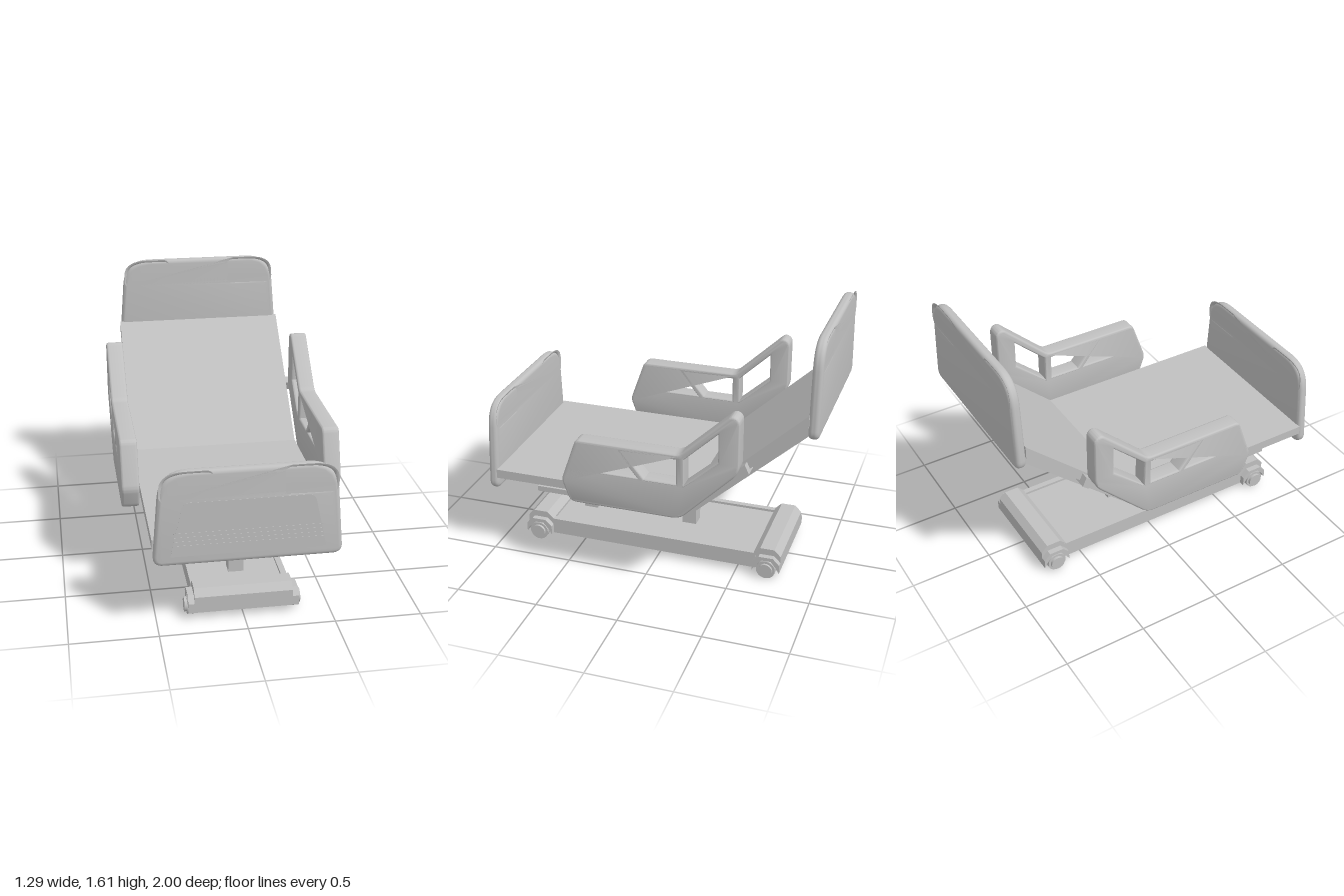
import * as THREE from 'three';
import { toCreasedNormals } from 'three/addons/utils/BufferGeometryUtils.js';

const grey = new THREE.MeshStandardMaterial({ color: 0xc0c0c0 });
grey.name = 'plain grey';

// Closed outline from [u, v, cornerRadius] points
function outline(pts, Kind = THREE.Shape) {
  const s = new Kind();
  pts.forEach(([u, v, r = 0], i) => {
    const p = new THREE.Vector2(u, v);
    const toward = (q) => {
      const d = new THREE.Vector2(q[0], q[1]).sub(p);
      return d.setLength(Math.min(r, d.length() * 0.49)).add(p);
    };
    const a = toward(pts[(i + pts.length - 1) % pts.length]);
    const b = toward(pts[(i + 1) % pts.length]);
    if (i === 0) s.moveTo(a.x, a.y); else s.lineTo(a.x, a.y);
    if (r > 0) s.quadraticCurveTo(u, v, b.x, b.y);
  });
  s.closePath();
  return s;
}

// Slab centred on its thickness, with optional rounded edges
function slab(pts, holes, thick, bevel = 0) {
  const shape = outline(pts);
  shape.holes = holes.map((h) => outline(h, THREE.Path));
  const g = new THREE.ExtrudeGeometry(shape, {
    depth: thick - 2 * bevel, curveSegments: 8, bevelEnabled: bevel > 0,
    bevelThickness: bevel, bevelSize: bevel, bevelOffset: -bevel, bevelSegments: 4,
  });
  g.translate(0, 0, -(thick - 2 * bevel) / 2);
  return toCreasedNormals(g, 0.6);
}

// Slab drawn in (z, y) and spanning x0..x1
const sideSlab = (pts, holes, x0, x1, bevel = 0) =>
  slab(pts, holes, Math.abs(x1 - x0), bevel).rotateY(-Math.PI / 2).translate((x0 + x1) / 2, 0, 0);

// Pleated skin: zigzag from low to high edge, lofted through the stations
function pleats(stations, side, count) {
  const pos = [];
  const idx = [];
  const n = count * 2;
  stations.forEach(([z0, y0, z1, y1]) => {
    for (let i = 0; i <= n; i++) {
      const t = i / n;
      pos.push(side * (i % 2 ? 0.639 : 0.618), y0 + (y1 - y0) * t, z0 + (z1 - z0) * t);
    }
  });
  for (let s = 0; s < stations.length - 1; s++) {
    for (let i = 0; i < n; i++) {
      const a = s * (n + 1) + i, b = a + 1, c = a + n + 1, d = c + 1;
      idx.push(...(side > 0 ? [a, c, b, b, c, d] : [a, b, c, b, d, c]));
    }
  }
  const g = new THREE.BufferGeometry();
  g.setAttribute('position', new THREE.Float32BufferAttribute(pos, 3));
  g.setIndex(idx);
  const flat = g.toNonIndexed();
  flat.computeVertexNormals();
  return flat;
}

export function createModel() {
  const model = new THREE.Group();
  model.name = 'adjustableBed';
  const add = (name, geo, parent = model) => {
    const m = new THREE.Mesh(geo, grey);
    m.name = name;
    parent.add(m);
    return m;
  };
  const box = (name, x0, x1, y0, y1, z0, z1, parent) =>
    add(name, new THREE.BoxGeometry(Math.abs(x1 - x0), y1 - y0, Math.abs(z1 - z0))
      .translate((x0 + x1) / 2, (y0 + y1) / 2, (z0 + z1) / 2), parent);

  // Mattress deck with raised backrest
  add('deck', sideSlab([[0.94, 0.515], [0.94, 0.57], [-0.265, 0.57], [-0.945, 1.205],
    [-0.945, 1.13], [-0.285, 0.515]], [], -0.525, 0.525));

  // Head and foot boards with two hand holes
  const board = [[-0.528, 0.432, 0.06], [0.528, 0.432, 0.06], [0.482, 0.99, 0.16], [-0.482, 0.99, 0.16]];
  const hole = [[0.218, 0.835, 0.015], [0.468, 0.835, 0.03], [0.46, 0.968, 0.13], [0.218, 0.968, 0.015]];
  const holes = [hole, hole.map(([x, y, r]) => [-x, y, r])];
  add('footBoard', slab(board, holes, 0.06, 0.024)).position.z = 0.966;
  add('headBoard', slab(board, holes, 0.06, 0.024)).position.set(0, 0.62, -0.97);

  // Decorative trapezoid and grooves on the foot board
  add('footPanel', slab([[-0.43, 0.49], [0.43, 0.49], [0.36, 0.81, 0.04], [-0.36, 0.81, 0.04]], [], 0.003))
    .position.z = 0.996;
  for (let i = 0; i < 4; i++) {
    const y = 0.553 + i * 0.025;
    box('footPanelRib', -0.41, 0.41, y - 0.003, y + 0.003, 0.995, 0.999);
  }

  // Frame under the deck
  box('frameCrossBar', -0.47, 0.47, 0.442, 0.475, 0.66, 0.695);
  for (const side of [-1, 1]) {
    add('frameRail', sideSlab([[0.695, 0.442], [0.695, 0.475], [-0.245, 0.475], [-0.945, 1.115],
      [-0.945, 1.065], [-0.26, 0.442]], [], side * 0.44, side * 0.475));
    for (const z of [0.2, -0.02]) box('railBracket', side * 0.44, side * 0.57, 0.47, 0.52, z - 0.02, z + 0.02);
    for (const z of [-0.4, -0.6, -0.8]) {
      const y = 0.475 + (-0.245 - z) * 0.92;
      add('backrestBracket', sideSlab([[z, y - 0.01], [z - 0.035, y + 0.02], [z - 0.01, y + 0.075],
        [z + 0.025, y + 0.045]], [], side * 0.44, side * (z === -0.6 ? 0.57 : 0.475)));
    }
  }

  // Side rails: rounded frame, windows and pleated lower panel
  const railOutline = [[0.465, 0.645, 0.03], [0.37, 0.915, 0.03], [-0.25, 0.915, 0.03], [-0.55, 1.2, 0.03],
    [-0.595, 1.175, 0.03], [-0.595, 0.85, 0.05], [-0.255, 0.507, 0.05], [0.415, 0.507, 0.04]];
  const windows = [
    [[0.355, 0.882], [0.125, 0.882], [0, 0.732], [0.402, 0.732]],
    [[0.08, 0.882], [-0.232, 0.882], [-0.232, 0.732], [-0.045, 0.732]],
    [[-0.28, 0.89], [-0.475, 1.075], [-0.475, 0.905], [-0.28, 0.73]],
  ];
  const panel = [[0.43, 0.645], [0.415, 0.71], [-0.285, 0.71], [-0.545, 0.92], [-0.565, 0.86],
    [-0.25, 0.545], [0.395, 0.545]];
  for (const side of [-1, 1]) {
    const rail = new THREE.Group();
    rail.name = side > 0 ? 'leftSideRail' : 'rightSideRail';
    model.add(rail);
    add('railFrame', sideSlab(railOutline, [...windows, panel], side * 0.542, side * 0.645, 0.014), rail);
    add('railPanel', sideSlab(panel, [], side * 0.545, side * 0.615), rail);
    add('railPleats', pleats([[0.395, 0.545, 0.42, 0.71], [-0.25, 0.545, -0.285, 0.71],
      [-0.565, 0.86, -0.545, 0.92]], side, 5), rail);
  }

  // Telescopic lifting columns
  for (const z of [0.53, -0.13]) {
    box('lowerColumn', -0.045, 0.045, 0.1, 0.355, z - 0.045, z + 0.045);
    box('upperColumn', -0.034, 0.034, 0.35, 0.52, z - 0.037, z + 0.037);
    box('columnCap', -0.055, 0.055, 0.46, 0.518, z - 0.044, z + 0.044);
  }

  // Base tray
  box('basePlate', -0.26, 0.26, 0.042, 0.125, -0.62, 0.7);
  for (const side of [-1, 1]) box('baseRail', side * 0.25, side * 0.285, 0.04, 0.14, -0.62, 0.7);

  // End beams, wheel arches and castors, mirrored front to back about z = 0.042
  for (const end of [-1, 1]) {
    const at = (pts) => pts.map(([z, y]) => [0.042 + end * z, y]);
    add('endBeam', sideSlab(at([[0.65, 0.042], [0.65, 0.14], [0.69, 0.18], [0.778, 0.18],
      [0.817, 0.14], [0.817, 0.042]]), [], -0.283, 0.283));
    for (const side of [-1, 1]) {
      add('wheelArch', sideSlab(at([[0.65, 0.042], [0.65, 0.1], [0.69, 0.14], [0.778, 0.14], [0.817, 0.1],
        [0.817, 0.042], [0.8, 0.075], [0.765, 0.118], [0.705, 0.118], [0.67, 0.075]]), [],
      side * 0.28, side * 0.318));
      const wheel = (name, r, w, x) => add(name, new THREE.CylinderGeometry(r, r, w, 32)
        .rotateZ(Math.PI / 2).translate(side * x, 0.058, 0.042 + end * 0.735));
      wheel('tyre', 0.058, 0.04, 0.3);
      wheel('wheelHub', 0.043, 0.055, 0.308);
    }
  }
  return model;
}
